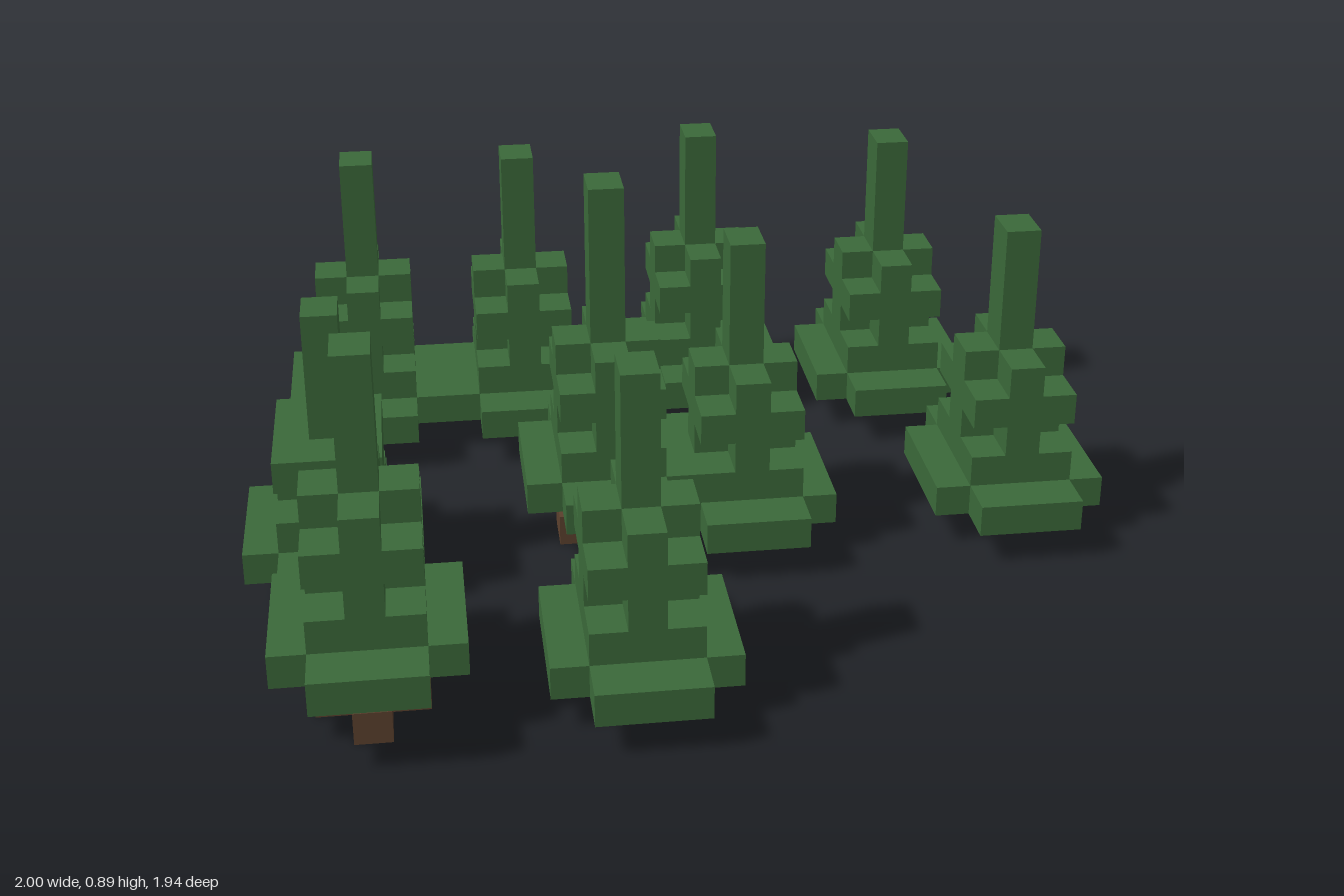
import * as THREE from 'three';

// Size of one block of the grid
const CX = 0.08, CY = 0.0742, CZ = 0.1077;

const green = new THREE.MeshStandardMaterial({ color: 0x3a6839 });
green.name = 'needle green';
const brown = new THREE.MeshStandardMaterial({ color: 0x5b402d });
brown.name = 'bark brown';

// Box measured in blocks, standing on layer y
function box(w, h, d, y) {
  const g = new THREE.BoxGeometry(w * CX, h * CY, d * CZ);
  g.translate(0, (y + h / 2) * CY, 0);
  return g;
}

// Square layer n blocks wide without its four corner blocks
function cross(n, y) {
  const a = n / 2, b = a - 1;
  const pts = [[a, -b], [a, b], [b, b], [b, a], [-b, a], [-b, b],
    [-a, b], [-a, -b], [-b, -b], [-b, -a], [b, -a], [b, -b]];
  const shape = new THREE.Shape(pts.map(([x, z]) => new THREE.Vector2(x * CX, z * CZ)));
  const g = new THREE.ExtrudeGeometry(shape, { depth: CY, bevelEnabled: false });
  g.rotateX(-Math.PI / 2);
  g.translate(0, y * CY, 0);
  return g;
}

// One fir: optional root layer, trunk, skirt, stepped branches and a thin tip
function fir({ roots = false, crown = true, tip = 4 }) {
  const tree = new THREE.Group();
  const add = (name, geometry, material) => {
    const m = new THREE.Mesh(geometry, material);
    m.name = name;
    tree.add(m);
  };
  let y = 0;
  if (roots) add('roots', cross(3, y++), brown);
  add('trunk', box(1, 1, 1, y++), brown);
  add('skirt', cross(5, y++), green);
  add('lowerBranches', box(3, 1, 3, y++), green);
  add('middleBranches', cross(3, y++), green);
  add('upperBranches', box(3, 1, 3, y++), green);
  if (crown) add('crown', cross(3, y++), green);
  add('tip', box(1, tip, 1, y), green);
  return tree;
}

export function createModel() {
  const model = new THREE.Group();
  model.name = 'firGrove';
  // Tree centres in blocks
  const trees = [
    { x: -9, z: -5.5 }, { x: -4, z: -5.5 }, { x: 2, z: -6.5 }, { x: 8, z: -5.5 },
    { x: -2, z: 0.5, roots: true, tip: 5 }, { x: 2, z: 0.5 }, { x: 10, z: 0.5 },
    { x: -10, z: 1.5, crown: false },
    { x: -9, z: 6.5, roots: true }, { x: -2, z: 6.5 },
  ];
  trees.forEach((t, i) => {
    const tree = fir(t);
    tree.name = 'fir' + (i + 1);
    tree.position.set(t.x * CX, 0, t.z * CZ);
    model.add(tree);
  });
  return model;
}
